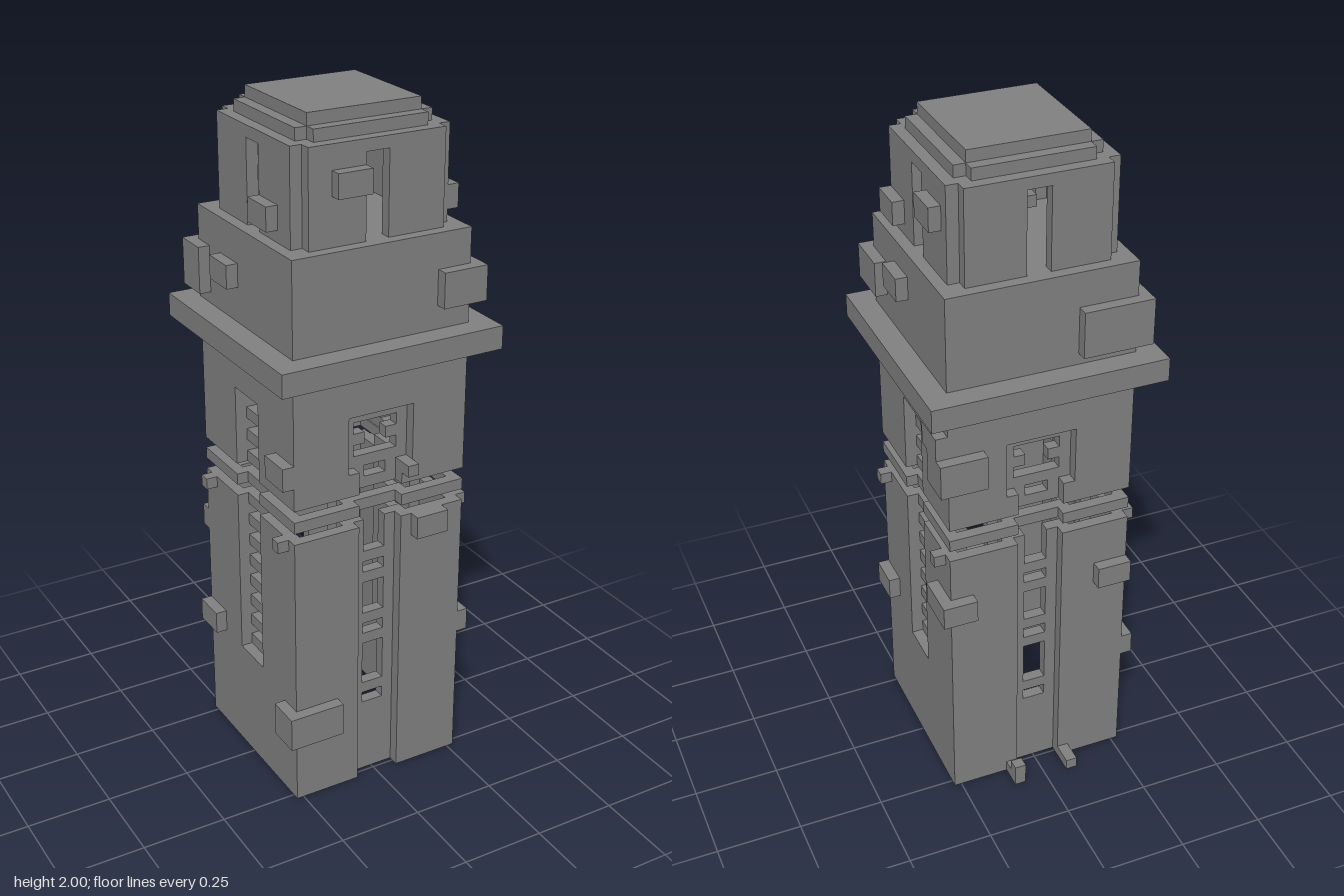
import * as THREE from 'three';

const U = 2 / 59; // grid step

export function createModel() {
  const root = new THREE.Group();
  root.name = 'tower';
  const stone = new THREE.MeshStandardMaterial({ color: 0x808080 });
  stone.name = 'grey stone';

  // box given by its limits in grid steps
  function box(parent, name, x0, x1, y0, y1, z0, z1) {
    const m = new THREE.Mesh(new THREE.BoxGeometry((x1 - x0) * U, (y1 - y0) * U, (z1 - z0) * U), stone);
    m.position.set((x0 + x1) / 2 * U, (y0 + y1) / 2 * U, (z0 + z1) / 2 * U);
    m.name = name;
    parent.add(m);
  }
  // four sides, each facing outward along its own z
  function sides(name, build) {
    for (let k = 0; k < 4; k++) {
      const g = new THREE.Group();
      g.name = name;
      g.rotation.y = k * Math.PI / 2;
      build(g, k % 2 === 0);
      root.add(g);
    }
  }
  const rects = (g, name, z0, z1, list) =>
    list.forEach(([x0, x1, y0, y1]) => box(g, name, x0, x1, y0, y1, z0, z1));

  // lower shaft: outer wall, recessed window strip and crossbars
  sides('lowerShaftSide', (g, isFront) => {
    rects(g, 'lowerWall', 7, 8, [[-8, -2, 0, 25], [2, 7, 0, 25]]);
    if (isFront) {
      rects(g, 'recessPanel', 6, 7, [[-3, -1, 0, 25], [1, 3, 0, 25], [-1, 1, 0, 7]]);
      [[8, 9], [13, 14], [15, 16], [19, 20], [21, 22]].forEach(([a, b]) =>
        box(g, 'windowBar', -1, 1, a, b, 6, 7));
    } else {
      box(g, 'lowerSill', -2, 2, 0, 10, 7, 8);
      rects(g, 'recessPanel', 6, 7, [[-3, -2, 9, 25], [2, 3, 9, 25], [-2, 2, 9, 11]]);
      for (let y = 12; y < 25; y += 2) box(g, 'windowBar', -2, 2, y, y + 1, 6, 7);
    }
  });

  // thin floating band
  sides('bandSide', (g) => {
    rects(g, 'band', 7, 8, [[-8, -2, 26, 27], [2, 7, 26, 27]]);
    box(g, 'bandRecess', -3, 3, 26, 27, 6, 7);
  });

  // middle block with lattice windows
  sides('middleSide', (g, isFront) => {
    const w = isFront ? 3 : 2;
    rects(g, 'middleWall', 7, 8, [[-8, -w, 28, 38], [w, 7, 28, 38], [-w, w, 35, 38]]);
    rects(g, 'latticeFrame', 6, 7, [[-4, -2, 28, 36], [2, 4, 28, 36], [-2, 2, 34, 36]]);
    [28, 30].forEach((y) => box(g, 'latticeBar', -2, 2, y, y + 1, 6, 7));
    if (isFront) {
      rects(g, 'middleWall', 7, 8, [[-3, -2, 28, 30], [2, 3, 28, 30]]);
      rects(g, 'latticeBar', 6, 7, [[-2, -1, 29, 30], [1, 2, 29, 30], [-2, -1, 32, 33], [1, 2, 32, 33]]);
    } else {
      box(g, 'latticeBar', -2, 2, 32, 33, 6, 7);
    }
  });

  // ledge, upper block and belfry walls
  sides('upperSide', (g) => {
    box(g, 'ledgeLip', -10, 9, 39, 40, 9, 10);
    box(g, 'ledge', -10, 7, 40, 41, 7, 10);
    box(g, 'upperWall', -8, 7, 41, 49, 7, 8);
    rects(g, 'belfryWall', 6, 7, [[-6, -1, 49, 57], [1, 6, 49, 57], [-1, 1, 56, 57]]);
    box(g, 'belfryCorner', 5, 6, 49, 57, 5, 6);
  });
  box(root, 'upperRoof', -7, 7, 48, 49, -7, 7);
  box(root, 'belfryBeam', -2, 2, 52, 53, -2, 2);
  box(root, 'belfryRoof', -6, 6, 56, 57, -6, 6);

  // stepped cap
  box(root, 'capStep', -6, 6, 57, 58, -5, 5);
  box(root, 'capStep', -5, 5, 57, 58, -6, 6);
  box(root, 'capTop', -5, 5, 58, 59, -5, 5);

  // protruding stones: x, y and z limits
  [
    [-4, -1, 53, 55, 7, 8], [7, 8, 53, 55, -5, -2], [7, 8, 50, 52, 3, 6], [-8, -7, 50, 52, 1, 4],
    [8, 9, 45, 47, 0, 3], [-9, -8, 44, 46, -4, -1],
    [8, 9, 35, 37, -8, -5], [-9, -8, 30, 32, 5, 8], [2, 3, 29, 30, 8, 9],
    [3, 6, 23, 25, 8, 9], [8, 9, 12, 14, 5, 8], [-9, -8, 10, 12, -8, -5], [-8, -5, 19, 21, -9, -8],
    [8, 9, 24, 25, 6, 7], [8, 9, 24, 25, -7, -6], [-9, -8, 24, 25, 6, 7], [-9, -8, 24, 25, -7, -6],
  ].forEach((b) => box(root, 'looseStone', ...b));

  // stones wrapping a corner: sign x, sign z, reach along x and z, y limits
  [
    [1, 1, 5, 5, 43, 46], [-1, -1, 3, 6, 42, 46], [1, -1, 5, 6, 32, 35],
    [1, -1, 6, 5, 19, 21], [-1, 1, 4, 6, 6, 9],
  ].forEach(([sx, sz, rx, rz, y0, y1]) => {
    const span = (s, a, b) => (s > 0 ? [a, b] : [-b, -a]);
    box(root, 'cornerStone', ...span(sx, rx, 9), y0, y1, ...span(sz, 8, 9));
    box(root, 'cornerStone', ...span(sx, 8, 9), y0, y1, ...span(sz, rz, 8));
  });

  // small steps at the back foot
  box(root, 'footStep', 2, 3, 0, 1, -10, -8);
  box(root, 'footStep', -3, -2, 0, 1, -10, -8);
  box(root, 'footPost', 2, 3, 1, 2, -10, -9);

  return root;
}
